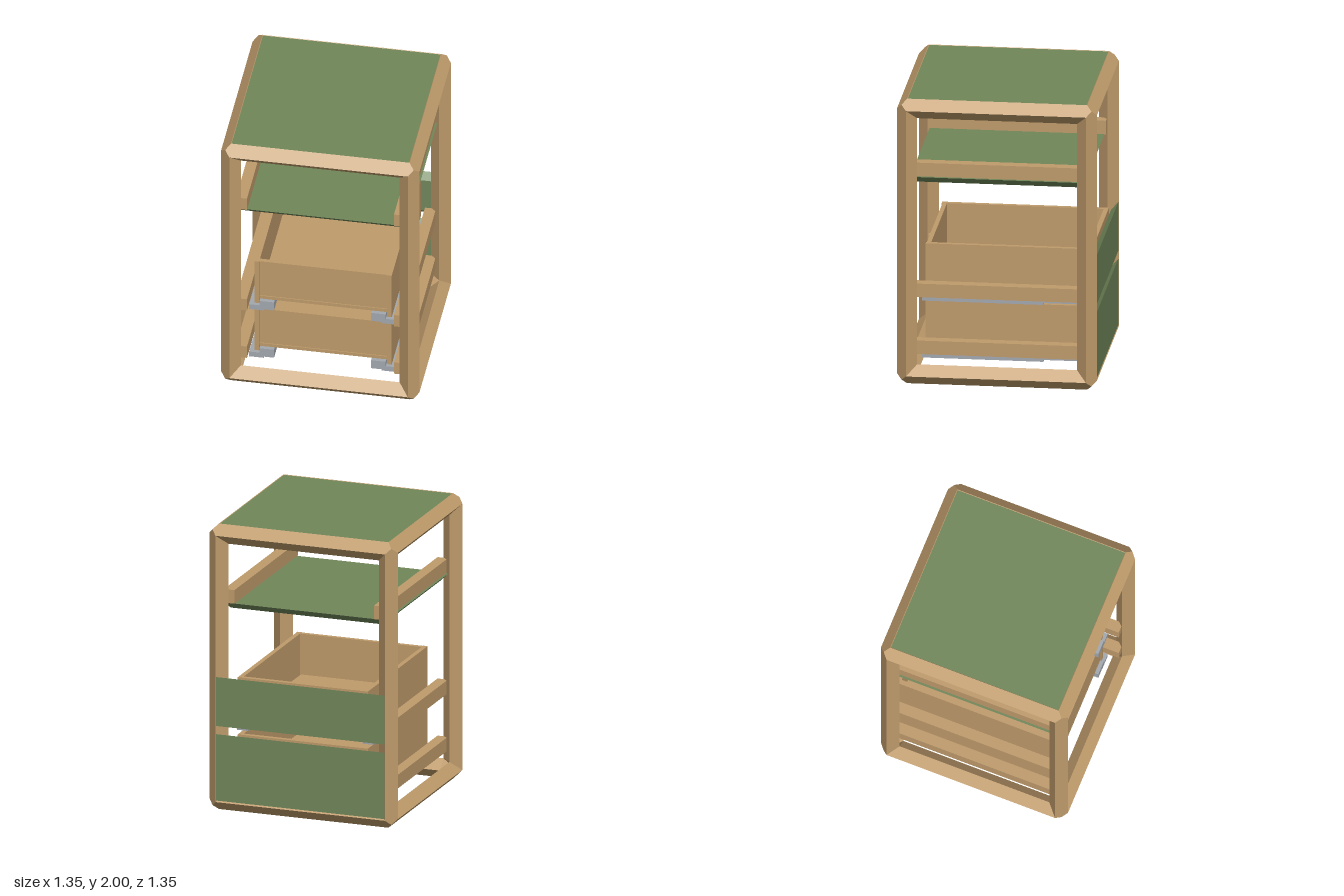
import * as THREE from 'three';
import { ConvexGeometry } from 'three/addons/geometries/ConvexGeometry.js';

const wood = new THREE.MeshStandardMaterial({ color: 0xbf9b6b });
const green = new THREE.MeshStandardMaterial({ color: 0x71875a });
const metal = new THREE.MeshStandardMaterial({ color: 0xa3a8b0 });

const R = 0.0675;                      // half diagonal of the beam section
const C = [0.6075, 0.9325, 0.6075];    // beam centre lines, measured from the middle

function add(parent, name, geometry, material) {
  const mesh = new THREE.Mesh(geometry, material);
  mesh.name = name;
  parent.add(mesh);
  return mesh;
}

// Box given by its limits on each axis
function box(parent, name, material, [x0, x1], [y0, y1], [z0, z1]) {
  const geo = new THREE.BoxGeometry(x1 - x0, y1 - y0, z1 - z0);
  add(parent, name, geo, material).position.set((x0 + x1) / 2, (y0 + y1) / 2, (z0 + z1) / 2);
}

// Beam of diamond section along one axis, mitred three ways at both ends
function beam(parent, name, axis, s1, s2) {
  const a = (axis + 1) % 3, b = (axis + 2) % 3;
  // offsets from the corner centre: along the beam, then across on a and b
  const ends = [[0, R, 0], [0, 0, R], [-R, -R, 0], [-R, 0, -R], [R / 2, R / 2, R / 2]];
  const points = [];
  for (const s of [-1, 1]) {
    for (const [u, v, w] of ends) {
      const p = [0, 0, 0];
      p[axis] = s * (C[axis] + u);
      p[a] = s1 * (C[a] + v);
      p[b] = s2 * (C[b] + w);
      points.push(new THREE.Vector3(p[0], p[1] + 1, p[2]));
    }
  }
  add(parent, name, new ConvexGeometry(points), wood);
}

// Panel lying flat with its outer face at y = 0 and edges bevelled to 45 degrees
function panel(parent, name, halfW, halfD, t) {
  const points = [];
  for (const sx of [-1, 1]) {
    for (const sz of [-1, 1]) {
      points.push(new THREE.Vector3(sx * halfW, 0, sz * halfD));
      points.push(new THREE.Vector3(sx * (halfW - t), -t, sz * (halfD - t)));
    }
  }
  return add(parent, name, new ConvexGeometry(points), green);
}

function drawer(y, panelBottom) {
  const g = new THREE.Group();
  g.name = 'drawer';
  const back = -0.625, front = 0.5;
  for (const s of [-1, 1]) {
    const span = (p, q) => (s > 0 ? [p, q] : [-q, -p]);
    box(g, 'drawerSide', wood, span(0.435, 0.467), [y, y + 0.35], [back, front]);
    // Slide below the side: channel, inner flange and thinner extension
    box(g, 'slideChannel', metal, span(0.4, 0.5), [y - 0.043, y - 0.003], [-0.3, 0.52]);
    box(g, 'slideFlange', metal, span(0.33, 0.43), [y - 0.033, y + 0.034], [-0.3, 0.52]);
    box(g, 'slideExtension', metal, span(0.41, 0.49), [y - 0.033, y - 0.008], [-0.58, -0.3]);
  }
  box(g, 'drawerBottom', wood, [-0.435, 0.435], [y + 0.036, y + 0.06], [back, front - 0.005]);
  box(g, 'drawerInnerEnd', wood, [-0.435, 0.435], [y + 0.065, y + 0.35], [front - 0.035, front - 0.005]);
  box(g, 'drawerFaceEnd', wood, [-0.435, 0.435], [y + 0.06, y + 0.35], [back, back + 0.032]);
  // Coloured face panel
  const top = y + 0.35;
  const face = panel(g, 'drawerFace', 0.604, (top - panelBottom) / 2, 0.045);
  face.rotation.x = -Math.PI / 2;
  face.position.set(0, (top + panelBottom) / 2, -0.672);
  return g;
}

export function createModel() {
  const model = new THREE.Group();

  // Frame of twelve beams
  const frame = new THREE.Group();
  frame.name = 'frame';
  const names = ['crossBeam', 'post', 'depthBeam'];
  for (let axis = 0; axis < 3; axis++)
    for (const s1 of [-1, 1]) for (const s2 of [-1, 1]) beam(frame, names[axis], axis, s1, s2);
  model.add(frame);

  // Top and shelf
  panel(model, 'topPanel', 0.604, 0.604, 0.045).position.y = 1.997;
  panel(model, 'shelf', 0.59, 0.59, 0.045).position.y = 1.445;

  // Side rails
  for (const y of [0.197, 0.597, 1.447]) {
    for (const s of [-1, 1]) {
      box(model, 'sideRail', wood, s > 0 ? [0.5, 0.575] : [-0.575, -0.5], [y, y + 0.095], [-0.6, 0.6]);
    }
  }

  // Drawers
  model.add(drawer(0.193, 0.078), drawer(0.593, 0.6));
  return model;
}
